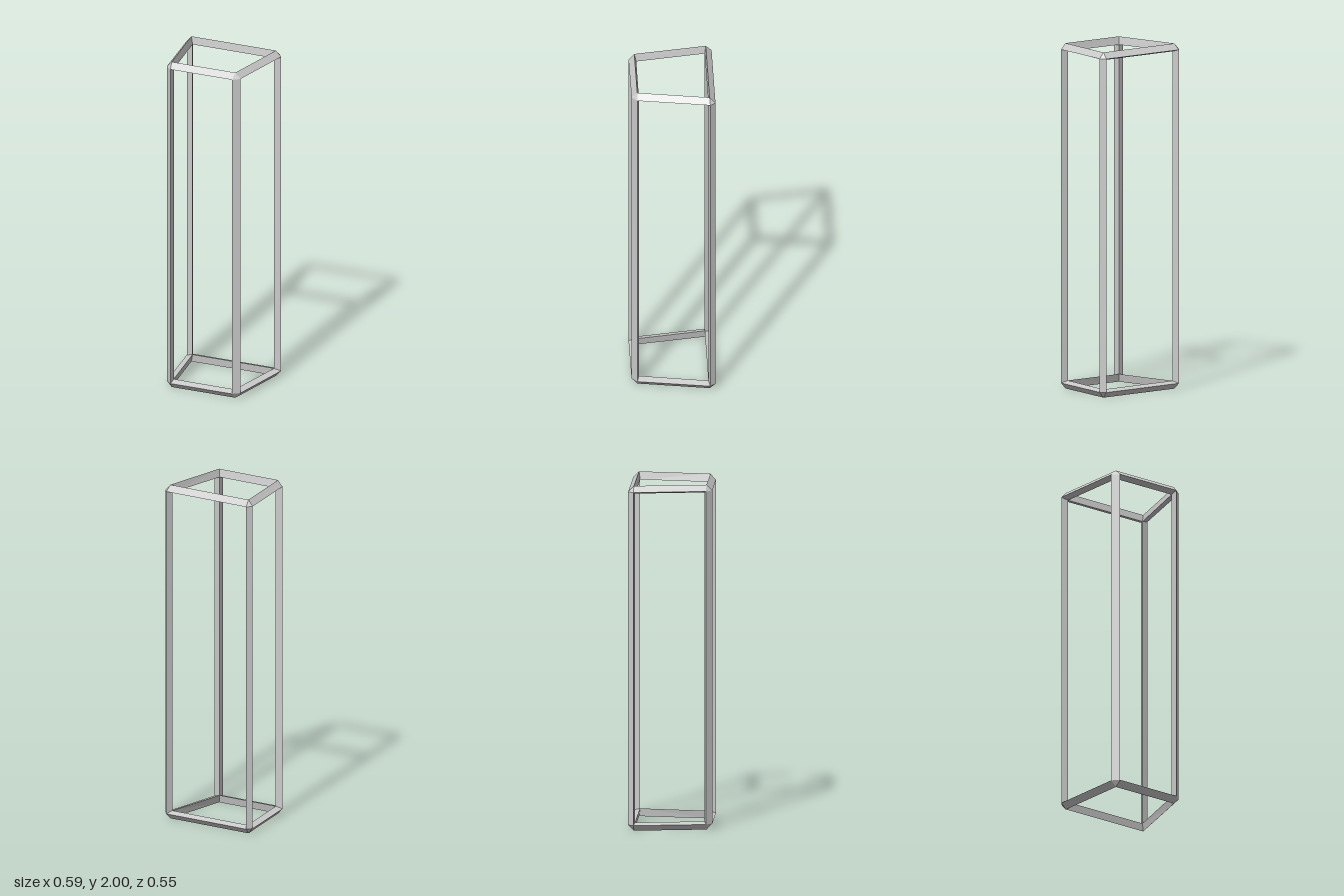
import * as THREE from 'three';

// Plan of each corner as [x, z]: point on the end face, chamfer points on the
// previous and next side, and the inner ridge of the triangular bars.
const CORNERS = [
  { name: 'backRight', face: [-0.265, -0.241], prev: [-0.295, -0.248], next: [-0.265, -0.275], inner: [-0.256, -0.233] },
  { name: 'backLeft', face: [0.262, -0.157], prev: [0.274, -0.189], next: [0.294, -0.155], inner: [0.252, -0.152] },
  { name: 'frontLeft', face: [0.133, 0.24], prev: [0.165, 0.245], next: [0.122, 0.271], inner: [0.125, 0.228] },
  { name: 'frontRight', face: [-0.264, 0.177], prev: [-0.262, 0.211], next: [-0.295, 0.171], inner: [-0.254, 0.167] },
];
const CHAMFER = 0.034;
const DEPTH = 0.046;

// Corner points at the bottom (0) or top (1) ring
function cornerPoints(c, top) {
  const at = ([x, z], d) => new THREE.Vector3(x, top ? 2 - d : d, z);
  return { face: at(c.face, 0), prev: at(c.prev, CHAMFER), next: at(c.next, CHAMFER), inner: at(c.inner, DEPTH) };
}

// Flat-faced geometry whose triangles all point away from a point inside
function facesAwayFrom(inside, triangles) {
  const points = [];
  for (const [a, b, c] of triangles) {
    const n = b.clone().sub(a).cross(c.clone().sub(a));
    points.push(...(n.dot(a.clone().sub(inside)) > 0 ? [a, b, c] : [a, c, b]));
  }
  const geometry = new THREE.BufferGeometry().setFromPoints(points);
  geometry.computeVertexNormals();
  return geometry;
}

// Triangular bar between two three-point sections
function barGeometry(p, q) {
  const centre = new THREE.Vector3();
  [...p, ...q].forEach((v) => centre.addScaledVector(v, 1 / 6));
  const triangles = [];
  for (let i = 0; i < 3; i++) {
    const j = (i + 1) % 3;
    triangles.push([p[i], p[j], q[j]], [p[i], q[j], q[i]]);
  }
  return facesAwayFrom(centre, triangles);
}

export function createModel() {
  const group = new THREE.Group();
  group.name = 'prismFrame';
  const material = new THREE.MeshStandardMaterial({ color: 0xcccccc, flatShading: true, side: THREE.DoubleSide });
  const add = (name, geometry) => {
    const mesh = new THREE.Mesh(geometry, material);
    mesh.name = name;
    group.add(mesh);
  };
  const rings = [0, 1].map((top) => CORNERS.map((c) => cornerPoints(c, top)));
  const barNames = ['Back', 'Left', 'Front', 'Right'];

  // Horizontal bars and chamfered corner facets of both rings
  rings.forEach((ring, top) => {
    const level = top ? 'top' : 'bottom';
    ring.forEach((a, i) => {
      const b = ring[(i + 1) % 4];
      add(`${level}${barNames[i]}Bar`, barGeometry([a.face, a.next, a.inner], [b.face, b.prev, b.inner]));
      add(`${level}Corner${i + 1}`, facesAwayFrom(a.inner, [[a.face, a.prev, a.next]]));
    });
  });

  // Upright posts
  CORNERS.forEach((c, i) => {
    const [a, b] = [rings[0][i], rings[1][i]];
    add(`${c.name}Post`, barGeometry([a.prev, a.next, a.inner], [b.prev, b.next, b.inner]));
  });
  return group;
}
